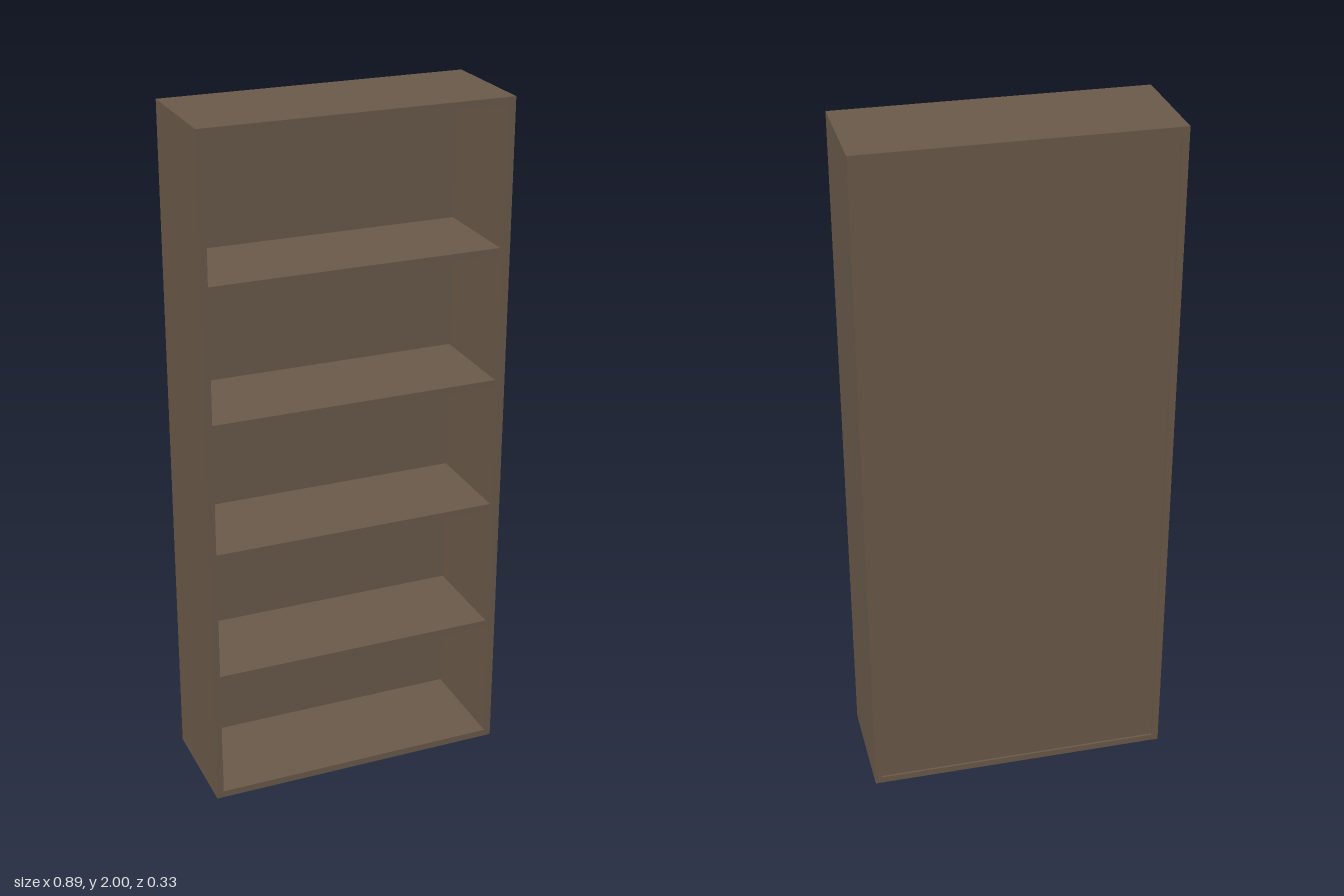
import * as THREE from 'three';

const W = 0.89, H = 2, D = 0.333, T = 0.02;   // overall size and board thickness

export function createModel() {
  const bookcase = new THREE.Group();
  bookcase.name = 'bookcase';

  const wood = new THREE.MeshStandardMaterial({ color: 0x6b5a4a });
  wood.name = 'brown wood';

  const board = (name, w, h, d, x, y, z) => {
    const mesh = new THREE.Mesh(new THREE.BoxGeometry(w, h, d), wood);
    mesh.name = name;
    mesh.position.set(x, y, z);
    bookcase.add(mesh);
  };

  const inner = W - 2 * T;

  // Outer frame
  board('leftSide', T, H, D, (W - T) / 2, H / 2, 0);
  board('rightSide', T, H, D, -(W - T) / 2, H / 2, 0);
  board('topBoard', inner, T, D, 0, H - T / 2, 0);
  board('bottomBoard', inner, T, D, 0, T / 2, 0);

  // Back panel, slightly recessed between the frame boards
  const panel = 0.01, recess = 0.006;
  const panelFront = -D / 2 + recess + panel;
  board('backPanel', inner, H - 2 * T, panel, 0, H / 2, panelFront - panel / 2);

  // Four loose shelves, set back from the front with a hairline gap at each end
  const shelfFront = D / 2 - 0.015;
  const pitch = (H - 2 * T) / 5;
  for (let i = 1; i <= 4; i++) {
    board(`shelf${i}`, inner - 0.004, T, shelfFront - panelFront,
      0, i * pitch, (shelfFront + panelFront) / 2);
  }

  return bookcase;
}
